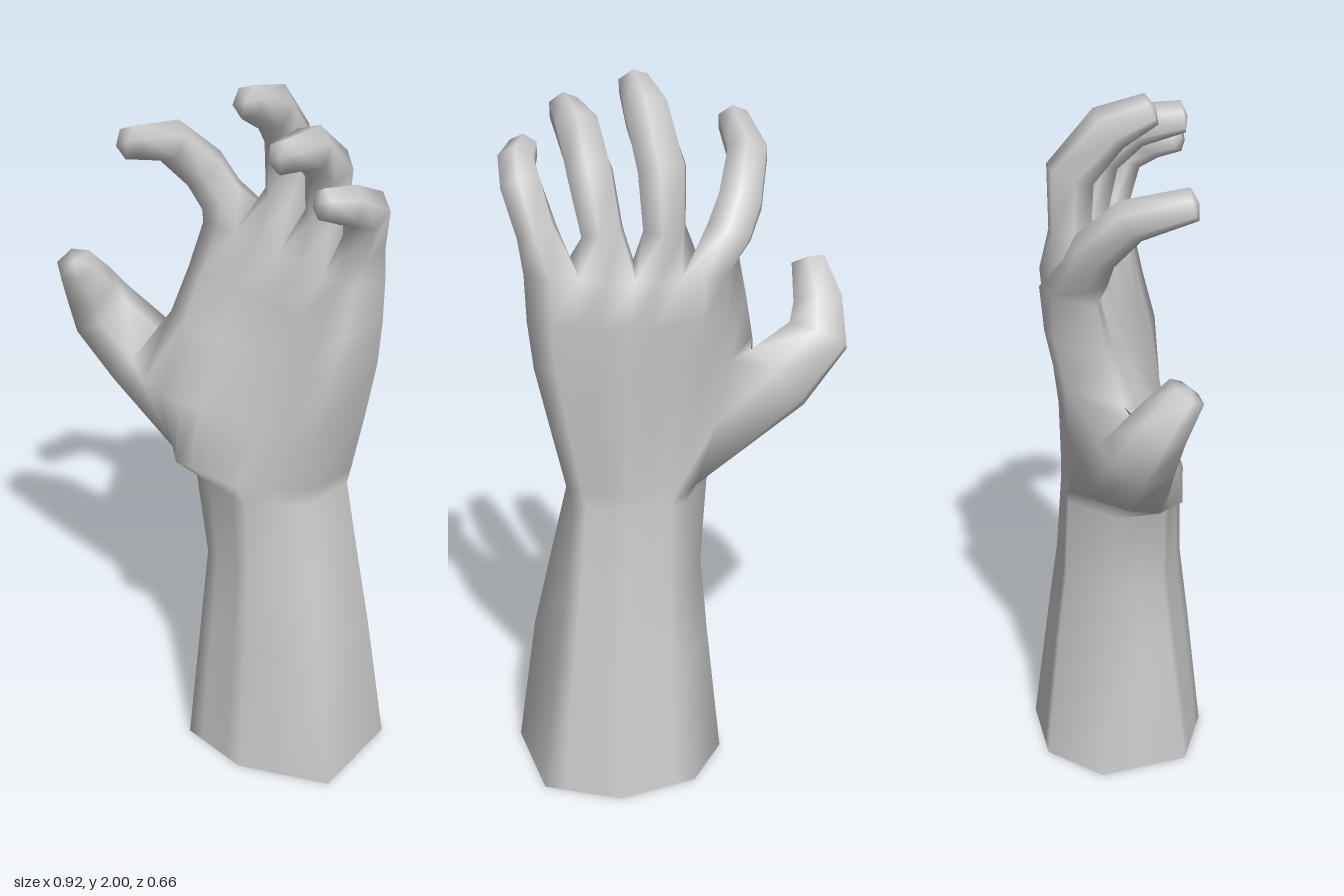
import * as THREE from 'three';

const material = new THREE.MeshStandardMaterial({ color: 0xcccccc });
const points = [], index = [];

function addPoint(p) {
  points.push(p);
  return points.length - 1;
}

// Joins corners a, b, c, d with two triangles
function quad(a, b, c, d) {
  index.push(a, b, c, a, c, d);
}

// Point at t along a line of corners
function along(corners, t) {
  const i = Math.min(Math.floor(t), corners.length - 2);
  return corners[i].clone().lerp(corners[i + 1], t - i);
}

// Ring of 9 front points (thumb side first) and 9 back points; odd back points rise into knuckle ridges
const frontSteps = [0, 0.5, 1, 1.25, 1.5, 1.75, 2, 2.5, 3];
function sectionRing([y, ...xz]) {
  const corners = Array.from({ length: 7 }, (_, j) => new THREE.Vector3(xz[2 * j], y, xz[2 * j + 1]));
  const ridge = 0.033 * THREE.MathUtils.smoothstep(y, 0.9, 1.5);
  const front = frontSteps.map((t) => along(corners.slice(0, 4), t));
  const back = frontSteps.map((_, k) => {
    const p = along(corners.slice(4), k / 4);
    p.z -= (k % 2) * ridge;
    return p;
  });
  return [...front, ...back].map(addPoint);
}

// Six-sided digit growing from a base ring through joints given as [x, y, z, radius]
function addDigit(base, joints, ref, startAngle) {
  const centres = joints.map(([x, y, z]) => new THREE.Vector3(x, y, z));
  const end = centres.length - 1;
  const direction = new THREE.Vector3();
  let previous = base;
  centres.forEach((centre, i) => {
    direction.set(0, 0, 0);
    if (i < end) direction.add(centres[i + 1].clone().sub(centre).normalize());
    if (i > 0) direction.add(centre.clone().sub(centres[i - 1]).normalize());
    direction.normalize();
    const u = ref.clone().addScaledVector(direction, -ref.dot(direction)).normalize();
    const v = direction.clone().cross(u);
    const r = joints[i][3] * 1.08;
    const ring = previous.map((_, j) => {
      const angle = startAngle + j * Math.PI / 3;
      return addPoint(centre.clone().addScaledVector(u, r * Math.cos(angle)).addScaledVector(v, r * Math.sin(angle)));
    });
    ring.forEach((p, j) => {
      const k = (j + 1) % 6;
      quad(previous[j], previous[k], ring[k], p);
    });
    previous = ring;
  });
  const tip = addPoint(centres[end].clone().addScaledVector(direction, 0.012));
  previous.forEach((p, j) => index.push(p, previous[(j + 1) % 6], tip));
}

export function createModel() {
  points.length = index.length = 0;

  // Forearm, wrist and palm: height, then x,z of four front corners and three back corners
  const sections = [
    [0.00, -0.125, -0.02, 0.035, 0.182, 0.25, 0.16, 0.463, 0.00, 0.355, -0.28, 0.135, -0.325, -0.065, -0.21],
    [0.38, -0.085, -0.01, 0.03, 0.135, 0.23, 0.125, 0.41, -0.01, 0.315, -0.245, 0.13, -0.275, -0.045, -0.18],
    [0.60, -0.065, 0.00, 0.03, 0.11, 0.21, 0.105, 0.36, -0.02, 0.29, -0.22, 0.13, -0.245, -0.03, -0.16],
    [0.84, -0.08, 0.01, 0.00, 0.125, 0.20, 0.105, 0.305, -0.03, 0.27, -0.19, 0.12, -0.225, -0.03, -0.15],
    [0.89, -0.10, 0.14, -0.02, 0.18, 0.18, 0.12, 0.31, -0.025, 0.285, -0.19, 0.12, -0.225, -0.06, -0.13],
    [1.07, -0.18, 0.18, -0.03, 0.165, 0.20, 0.055, 0.345, -0.01, 0.325, -0.20, 0.12, -0.23, -0.12, -0.10],
    [1.25, -0.20, 0.07, -0.06, 0.075, 0.22, 0.00, 0.38, -0.03, 0.365, -0.205, 0.12, -0.235, -0.15, -0.11],
    [1.38, -0.185, 0.02, -0.07, 0.015, 0.24, -0.04, 0.39, -0.07, 0.38, -0.205, 0.11, -0.235, -0.145, -0.14],
    [1.51, -0.165, -0.015, -0.06, -0.045, 0.285, -0.08, 0.39, -0.10, 0.385, -0.205, 0.09, -0.235, -0.145, -0.15],
  ];
  const rings = sections.map(sectionRing);
  const thumbRow = 4;
  for (let i = 0; i < rings.length - 1; i++) {
    for (let j = 0; j < 18; j++) {
      // Leave an opening on the thumb side
      if (j === 17 && (i === thumbRow || i === thumbRow + 1)) continue;
      const k = (j + 1) % 18;
      quad(rings[i][j], rings[i][k], rings[i + 1][k], rings[i + 1][j]);
    }
  }

  // Curled fingers, index to little, each sharing its web edges with its neighbours
  const knuckles = rings[rings.length - 1];
  const fingers = [
    [[-0.14, 1.59, -0.055, 0.062], [-0.167, 1.665, -0.02, 0.06], [-0.18, 1.765, 0.08, 0.055], [-0.133, 1.812, 0.235, 0.042]],
    [[0.022, 1.63, -0.155, 0.056], [0.028, 1.79, -0.155, 0.064], [0.075, 1.91, -0.065, 0.061], [0.118, 1.96, 0.04, 0.042]],
    [[0.183, 1.62, -0.165, 0.055], [0.215, 1.775, -0.145, 0.061], [0.255, 1.86, -0.055, 0.058], [0.305, 1.882, 0.07, 0.042]],
    [[0.354, 1.61, -0.155, 0.054], [0.395, 1.725, -0.13, 0.056], [0.418, 1.765, -0.055, 0.05], [0.408, 1.785, 0.025, 0.038]],
  ];
  const sideways = new THREE.Vector3(1, 0, 0);
  fingers.forEach((joints, f) => {
    const a = 2 * f, b = 15 - 2 * f;
    const base = [a, a + 1, a + 2, b, b + 1, b + 2].map((j) => knuckles[j]);
    addDigit(base, joints, sideways, Math.PI * 7 / 6);
  });

  // Thumb, growing out of the opening
  const [low, mid, high] = rings.slice(thumbRow, thumbRow + 3);
  const thumb = [[-0.27, 1.11, 0.12, 0.106], [-0.38, 1.215, 0.18, 0.09], [-0.375, 1.3, 0.225, 0.072], [-0.345, 1.395, 0.285, 0.05]];
  addDigit([low[17], low[0], mid[0], high[0], high[17], mid[17]], thumb,
    new THREE.Vector3(0, -0.5, 0.8), Math.PI * 4 / 3);

  const skin = new THREE.BufferGeometry().setFromPoints(points);
  skin.setIndex(index);
  skin.computeVertexNormals();

  // Slightly hollow cut end of the forearm
  const rim = rings[0].map((p) => points[p]);
  const apex = new THREE.Vector3(0.16, 0.05, -0.07);
  const cut = new THREE.BufferGeometry().setFromPoints(rim.flatMap((p, j) => [rim[(j + 1) % 18], p, apex]));
  cut.computeVertexNormals();

  const group = new THREE.Group();
  group.name = 'hand';
  for (const [name, geometry] of [['forearm, palm and fingers', skin], ['forearm end', cut]]) {
    const mesh = new THREE.Mesh(geometry, material);
    mesh.name = name;
    group.add(mesh);
  }
  return group;
}
